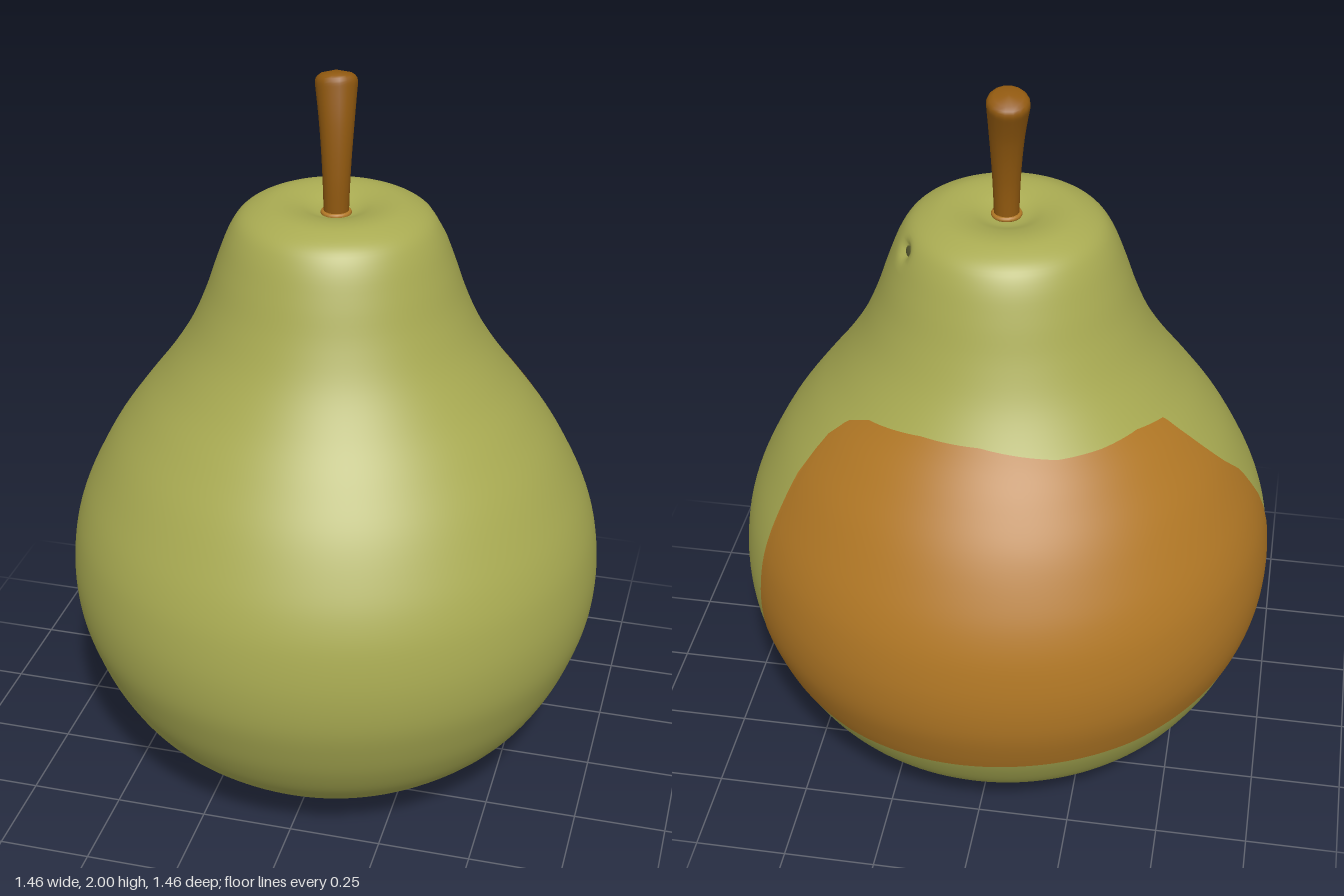
import * as THREE from 'three';
import { mergeVertices } from 'three/addons/utils/BufferGeometryUtils.js';

const mat = (name, color, side = THREE.FrontSide) => {
  const m = new THREE.MeshStandardMaterial({ color, side });
  m.name = name;
  return m;
};

// Body profile (radius, height) from the calyx hollow up to the stem hollow
const PROFILE = [
  [0, 0.045], [0.05, 0.04], [0.1, 0.022], [0.16, 0.007], [0.22, 0], [0.29, 0.008], [0.36, 0.03],
  [0.41, 0.053], [0.485, 0.105], [0.585, 0.2], [0.65, 0.3], [0.693, 0.4], [0.722, 0.5], [0.731, 0.61],
  [0.72, 0.72], [0.695, 0.81], [0.655, 0.9], [0.6, 1.0], [0.53, 1.1], [0.455, 1.2], [0.392, 1.3],
  [0.347, 1.4], [0.312, 1.5], [0.28, 1.58], [0.247, 1.626], [0.195, 1.652], [0.15, 1.658],
  [0.1, 1.65], [0.05, 1.633], [0, 1.63],
];

// Patch edges as (angle from the back towards +x in degrees, height)
const PATCH_TOP = [[-94, 0.7], [-92, 0.8], [-87, 0.93], [-81, 1.0], [-74, 1.1], [-68, 1.18], [-55, 1.195],
  [-40, 1.19], [-25, 1.19], [0, 1.22], [20, 1.22], [42, 1.2], [50, 1.17], [55, 1.11], [57, 1.0]];
const PATCH_BOTTOM = [[-94, 0.64], [-89, 0.55], [-80, 0.47], [-68, 0.41], [-39, 0.36], [-13, 0.35],
  [12, 0.335], [30, 0.33], [47, 0.36], [53, 0.4], [57, 0.5]];

// Linear lookup in a table sorted by its first column
function lookup(table, t) {
  let i = 1;
  while (i < table.length - 1 && table[i][0] < t) i++;
  const [a, b] = [table[i - 1], table[i]];
  return THREE.MathUtils.mapLinear(t, a[0], b[0], a[1], b[1]);
}

// Weld the seams so that the smooth normals are continuous
function smooth(geometry) {
  geometry.deleteAttribute('uv');
  geometry.deleteAttribute('normal');
  const g = mergeVertices(geometry, 1e-5);
  g.computeVertexNormals();
  return g;
}

export function createModel() {
  const group = new THREE.Group();
  const green = mat('pearGreen', 0xa9ab52);
  const russet = mat('russetOrange', 0xb27825, THREE.DoubleSide);
  const brown = mat('stemBrown', 0x91590f);
  const bruiseDark = mat('bruiseOlive', 0x55572f);
  const add = (name, geometry, material, parent = group) => {
    const mesh = new THREE.Mesh(geometry, material);
    mesh.name = name;
    parent.add(mesh);
    return mesh;
  };
  const v = new THREE.Vector3();

  // Body: the base sits on two low lobes at the sides, and a bruise dents the shoulder
  const profile = new THREE.SplineCurve(PROFILE.map((p) => new THREE.Vector2(...p))).getPoints(140);
  profile[0].x = profile[profile.length - 1].x = 0;
  const body = new THREE.LatheGeometry(profile, 144);
  const bruise = new THREE.Vector3(0.245, 1.585, -0.13);
  const pos = body.attributes.position;
  for (let i = 0; i < pos.count; i++) {
    v.fromBufferAttribute(pos, i);
    const r = Math.hypot(v.x, v.z) || 1;
    const d = Math.hypot(v.x - bruise.x, (v.y - bruise.y) * 1.4, v.z - bruise.z);
    const push = 0.02 * Math.exp(-((d / 0.025) ** 2));
    const lift = v.y < 0.3 ? 0.016 * (v.z / r) ** 2 * Math.exp(-(((r - 0.22) / 0.15) ** 2)) : 0;
    pos.setXYZ(i, v.x - (v.x / r) * push, v.y - push * 0.4 + lift, v.z - (v.z / r) * push);
  }
  add('body', smooth(body), green);

  // Dark spot lying in the bruise
  const spot = add('bruiseSpot', new THREE.SphereGeometry(1, 16, 10), bruiseDark);
  spot.scale.set(0.026, 0.014, 0.004);
  spot.position.set(0.232, 1.58, -0.123);
  spot.rotation.set(-0.4, Math.atan2(0.245, -0.13), 0, 'YXZ');

  // Russet patch, a thin skin that follows the body across the back
  const side = profile.filter((p) => p.y > 0.2 && p.y < 1.4 && p.x > 0.3).map((p) => [p.y, p.x]);
  const patch = new THREE.PlaneGeometry(1, 1, 120, 50);
  const pp = patch.attributes.position;
  for (let i = 0; i < pp.count; i++) {
    const deg = THREE.MathUtils.lerp(57, -94, pp.getX(i) + 0.5);
    const y = THREE.MathUtils.lerp(lookup(PATCH_BOTTOM, deg), lookup(PATCH_TOP, deg), pp.getY(i) + 0.5);
    const r = lookup(side, y) + 0.003;
    const a = THREE.MathUtils.degToRad(deg);
    pp.setXYZ(i, r * Math.sin(a), y, -r * Math.cos(a));
  }
  patch.computeVertexNormals();
  add('russetPatch', patch, russet);

  // Stem: bent tube that widens upwards and closes with a rounded tip
  const path = new THREE.CatmullRomCurve3([
    new THREE.Vector3(0.004, 1.6, 0.013), new THREE.Vector3(0.004, 1.74, 0.01),
    new THREE.Vector3(0, 1.87, -0.008), new THREE.Vector3(-0.01, 1.997, -0.042),
  ]);
  const rows = 60, sides = 16;
  const stem = new THREE.TubeGeometry(path, rows, 1, sides);
  const sp = stem.attributes.position;
  for (let i = 0; i < sp.count; i++) {
    const u = Math.floor(i / (sides + 1)) / rows;
    const cap = Math.sqrt(Math.max(0, 1 - Math.max(0, (u - 0.9) / 0.1) ** 3));
    const radius = (0.033 + 0.026 * u ** 1.8) * cap;
    const c = path.getPointAt(u);
    v.fromBufferAttribute(sp, i).sub(c).multiplyScalar(radius).add(c);
    sp.setXYZ(i, v.x, v.y, v.z);
  }
  add('stem', smooth(stem), brown);

  // Corky collar where the stem enters the fruit
  const collar = add('stemCollar', new THREE.TorusGeometry(0.034, 0.007, 8, 20), russet);
  collar.rotation.x = Math.PI / 2;
  collar.position.set(0.004, 1.635, 0.013);

  // Calyx: five dried lobes around a dark core in the bottom hollow
  const calyx = new THREE.Group();
  calyx.name = 'calyx';
  calyx.position.y = 0.036;
  group.add(calyx);
  for (let i = 0; i < 5; i++) {
    const a = (i / 5) * Math.PI * 2;
    const lobe = add('calyxLobe', new THREE.SphereGeometry(1, 12, 8), russet, calyx);
    lobe.scale.set(0.034, 0.012, 0.026);
    lobe.position.set(Math.cos(a) * 0.038, 0, Math.sin(a) * 0.038);
    lobe.rotation.y = -a;
  }
  add('calyxCore', new THREE.SphereGeometry(1, 14, 8), brown, calyx).scale.set(0.026, 0.014, 0.026);

  return group;
}
